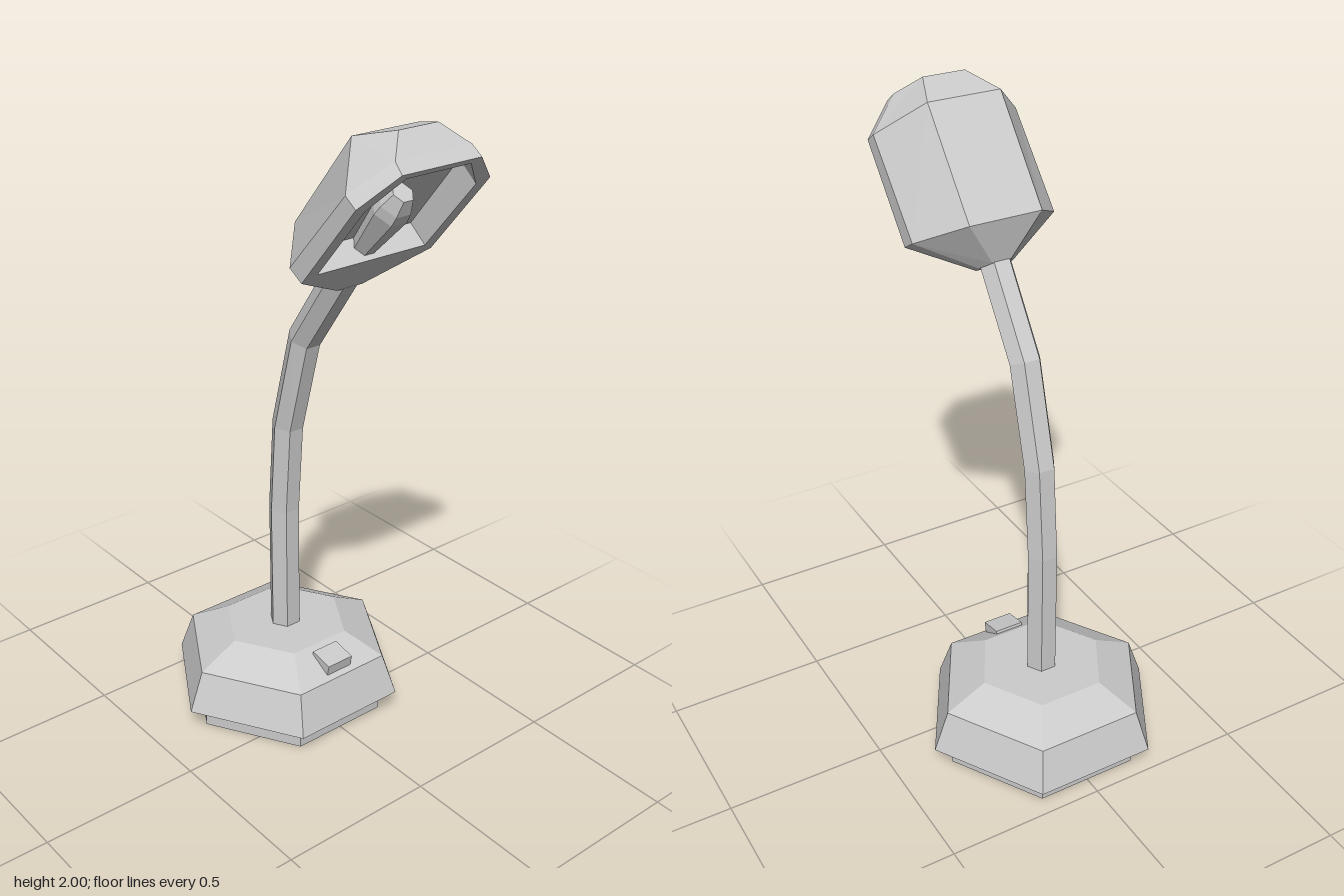
import * as THREE from 'three';

const material = new THREE.MeshStandardMaterial({ color: 0xcccccc, flatShading: true });

function part(name, geometry, parent) {
  const flat = geometry.index ? geometry.toNonIndexed() : geometry;
  flat.computeVertexNormals();
  const mesh = new THREE.Mesh(flat, material);
  mesh.name = name;
  parent.add(mesh);
  return mesh;
}

// Skin six-point rings, with a cap on the first and last ring
function loft(rings, capStart = true, capEnd = true) {
  const pos = [];
  const quad = (a, b, c, d) => pos.push(...a, ...b, ...c, ...a, ...c, ...d);
  for (let i = 0; i < rings.length - 1; i++) {
    const p = rings[i], q = rings[i + 1];
    for (let k = 0; k < 6; k++) {
      const n = (k + 1) % 6;
      quad(p[k], q[k], q[n], p[n]);
    }
  }
  const s = rings[0], e = rings[rings.length - 1];
  if (capStart) { quad(s[0], s[1], s[4], s[5]); quad(s[1], s[2], s[3], s[4]); }
  if (capEnd) { quad(e[5], e[4], e[1], e[0]); quad(e[4], e[3], e[2], e[1]); }
  const g = new THREE.BufferGeometry();
  g.setAttribute('position', new THREE.Float32BufferAttribute(pos, 3));
  return g;
}

// Three [along, depth, halfWidth] points mirrored into a six-point ring
function mirrored(half) {
  const left = half.map(([u, v, w]) => [u, -v, w]);
  const right = half.map(([u, v, w]) => [u, -v, -w]).reverse();
  return [...left, ...right];
}

function lathe(profile) {
  return new THREE.LatheGeometry(profile.map(([r, y]) => new THREE.Vector2(r, y)), 6);
}

// Hexagonal bar swept along a bent path in the xy plane, mitred at each bend
function bentBar(path, r) {
  const pts = path.map(([x, y]) => new THREE.Vector2(x, y));
  const rings = pts.map((p, i) => {
    const before = p.clone().sub(pts[Math.max(i - 1, 0)]).normalize();
    const after = pts[Math.min(i + 1, pts.length - 1)].clone().sub(p).normalize();
    const t = before.add(after).normalize();
    return Array.from({ length: 6 }, (_, k) => {
      const a = k * Math.PI / 3, s = r * Math.sin(a);
      return [p.x + t.y * s, p.y - t.x * s, r * Math.cos(a)];
    });
  });
  return loft(rings.reverse());
}

export function createModel() {
  const lamp = new THREE.Group();
  lamp.name = 'deskLamp';

  // Hexagonal foot and weighted base
  const base = new THREE.Group();
  base.name = 'base';
  base.position.x = -0.16;
  lamp.add(base);
  part('foot', lathe([[0, 0], [0.325, 0], [0.325, 0.075]]), base);
  part('baseBody', lathe([[0, 0.075], [0.383, 0.075], [0.335, 0.205], [0.205, 0.27], [0, 0.27]]), base);

  // Switch on the sloping base panel
  const button = part('switch', new THREE.BoxGeometry(0.08, 0.05, 0.094), lamp);
  button.position.set(0.076, 0.234, 0);
  button.rotation.z = -0.2;

  // Bent stem
  part('stem', bentBar([[-0.16, 0.25], [-0.16, 0.69], [-0.137, 0.985], [-0.053, 1.293], [0.112, 1.53]], 0.05), lamp);

  // Head: local x runs along the shade, local -y points out of its opening
  const head = new THREE.Group();
  head.name = 'head';
  head.position.set(0.05, 1.69, 0);
  head.rotation.z = 0.883;
  lamp.add(head);

  // Faceted shade, rim and recessed inside
  part('shade', loft([
    [[0, 0, 0.115], [0.362, 0, 0.115], [0.462, 0.074, 0.067]],
    [[0.022, 0.14, 0.23], [0.352, 0.155, 0.23], [0.458, 0.155, 0.13]],
    [[0.03, 0.197, 0.23], [0.356, 0.203, 0.23], [0.457, 0.197, 0.135]],
    [[0.057, 0.197, 0.19], [0.338, 0.203, 0.19], [0.437, 0.197, 0.11]],
    [[0.057, 0.12, 0.19], [0.338, 0.12, 0.19], [0.425, 0.12, 0.1]],
  ].map(mirrored)), head);

  // Tapered neck joining the shade to the stem
  part('neck', loft([
    [[0, 0, 0.115], [0.022, 0.14, 0.23], [0.03, 0.197, 0.23]],
    [[-0.09, 0.108, 0.03], [-0.087, 0.15, 0.055], [-0.083, 0.192, 0.045]],
  ].map(mirrored), false, true), head);

  // Bulb lying along the recess
  const bulb = part('bulb', lathe([[0, 0], [0.034, 0], [0.055, 0.16], [0.05, 0.19], [0.033, 0.235], [0, 0.235]]), head);
  bulb.rotation.z = -Math.PI / 2;
  bulb.position.set(0.055, -0.15, 0);

  return lamp;
}
